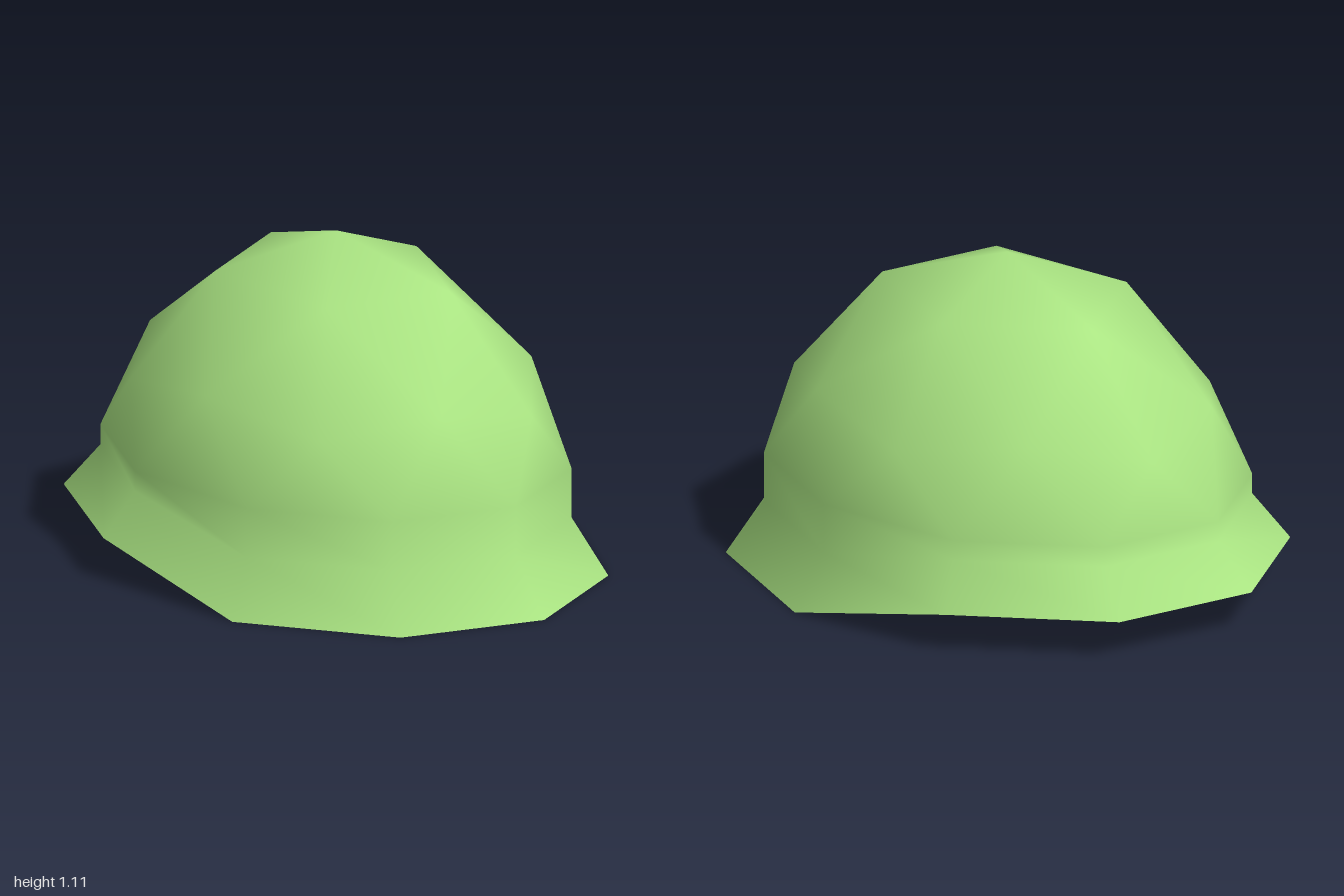
import * as THREE from 'three';

const WIDTH = 0.8; // the plan is an ellipse, narrower in x

const point = (r, y, deg) => {
  const a = THREE.MathUtils.degToRad(deg);
  return [WIDTH * r * Math.cos(a), y, r * Math.sin(a)];
};

// Ten-sided ring; the front half sits at yFront, the back half at yBack
const ring = (r, yFront, yBack = yFront) => Array.from({ length: 10 }, (_, k) => {
  const deg = 18 + 36 * k;
  return point(r, deg < 180 ? yFront : yBack, deg);
});

// Joins successive ten-sided rings into a strip of triangles
function skin(rings) {
  const index = [];
  for (let j = 0; j < rings.length - 1; j++) {
    for (let k = 0; k < 10; k++) {
      const n = (k + 1) % 10;
      const a = j * 10 + k, b = j * 10 + n;
      index.push(a, a + 10, b + 10, a, b + 10, b);
    }
  }
  return { points: rings.flat(), index };
}

function build(name, { points, index }, material) {
  const geometry = new THREE.BufferGeometry();
  geometry.setAttribute('position', new THREE.Float32BufferAttribute(points.flat(), 3));
  geometry.setIndex(index);
  geometry.computeVertexNormals();
  const mesh = new THREE.Mesh(geometry, material);
  mesh.name = name;
  return mesh;
}

export function createModel() {
  const group = new THREE.Group();
  group.name = 'helmet';
  const material = new THREE.MeshStandardMaterial({ color: 0xaae482, side: THREE.DoubleSide });

  // Flared brim and upright band
  const shell = skin([ring(1, 0, 0.14), ring(0.865, 0.19, 0.29), ring(0.865, 0.36)]);

  // Faceted dome: ten points, five points, then the crown
  const E = 20, R = 30, T = 40, crown = 45;
  for (let k = 0; k < 10; k++) {
    shell.points.push(k % 2 ? point(0.736, 0.67, 36 * k) : point(0.774, 0.6, 36 * k));
  }
  for (let m = 0; m < 5; m++) shell.points.push(point(0.455, 0.972, 72 * m));
  shell.points.push([0, 1.11, 0]);
  for (let k = 0; k < 10; k++) {
    const n = (k + 1) % 10;
    shell.index.push(E + k, R + k, R + n, E + k, R + n, E + n);
  }
  for (let m = 0; m < 5; m++) {
    const a = R + 2 * m, b = a + 1, c = R + ((2 * m + 2) % 10);
    const t = T + m, u = T + ((m + 1) % 5);
    shell.index.push(a, t, b, b, t, u, b, u, c, t, crown, u);
  }
  group.add(build('domeAndBrim', shell, material));

  // Underside of the brim, sloping up into a short open inner band
  group.add(build('brimUndersideAndInnerBand',
    skin([ring(0.655, 0.32), ring(0.74, 0.2, 0.215), ring(1, 0, 0.14)]), material));

  return group;
}
